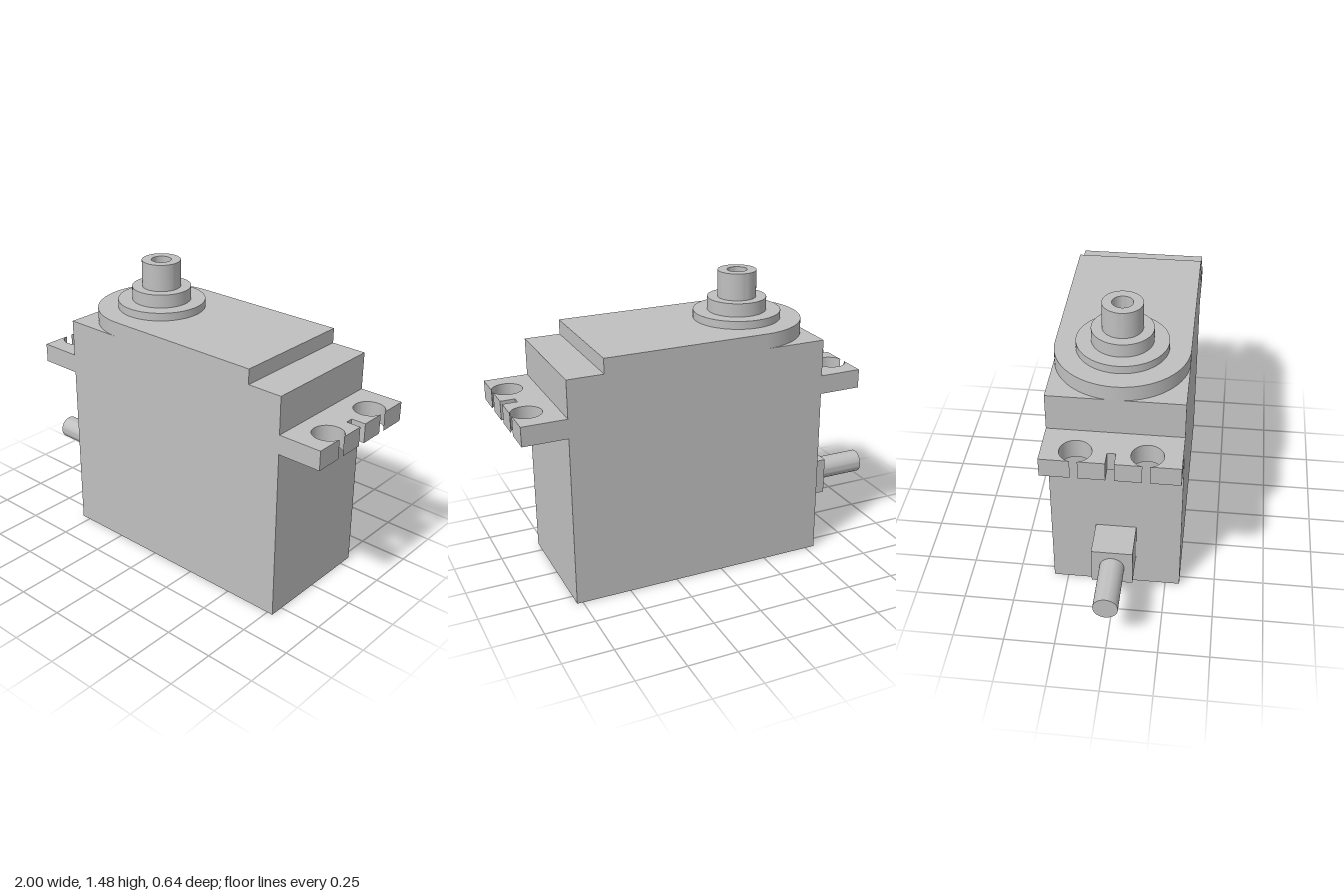
import * as THREE from 'three';
import { toCreasedNormals } from 'three/addons/utils/BufferGeometryUtils.js';

export function createModel() {
  const model = new THREE.Group();
  model.name = 'servoMotor';
  const grey = new THREE.MeshStandardMaterial({ color: 0xc0c0c0 });
  grey.name = 'grey plastic';

  const add = (name, geometry, x = 0, y = 0, z = 0) => {
    const mesh = new THREE.Mesh(toCreasedNormals(geometry, 0.5), grey);
    mesh.name = name;
    mesh.position.set(x, y, z);
    model.add(mesh);
    return mesh;
  };

  // Horizontal plate from a plan outline, rising from y = 0
  const plate = (shape, height) =>
    new THREE.ExtrudeGeometry(shape, { depth: height, bevelEnabled: false, curveSegments: 40 })
      .rotateX(-Math.PI / 2);

  const W = 0.322; // half width of the case
  const shaftX = -0.23;

  // Main case
  add('case', new THREE.BoxGeometry(1.33, 1.16, 2 * W), 0.115, 0.58, 0);

  // Raised lid, rounded around the output shaft
  const lid = new THREE.Shape();
  lid.moveTo(shaftX, -W);
  lid.lineTo(0.6, -W);
  lid.lineTo(0.6, W);
  lid.lineTo(shaftX, W);
  lid.absarc(shaftX, 0, W, Math.PI / 2, Math.PI * 1.5, false);
  add('gearLid', plate(lid, 0.075), 0, 1.16, 0);

  // Stepped collar and hollow output shaft
  const profile = [
    [0.22, 1.235], [0.22, 1.275], [0.148, 1.275], [0.148, 1.342], [0.097, 1.342],
    [0.097, 1.477], [0.05, 1.477], [0.05, 1.342], [0, 1.342],
  ].map(([r, y]) => new THREE.Vector2(r, y));
  add('outputShaft', new THREE.LatheGeometry(profile, 64), shaftX, 0, 0);

  // Mounting ear: two screw holes just breaking the outer edge, and a centre slot
  const L = 0.22, holeX = 0.147, holeZ = 0.163, r = 0.075;
  const gap = Math.acos((L - holeX) / r);
  const ear = new THREE.Shape();
  ear.moveTo(0, -W);
  ear.lineTo(L, -W);
  ear.absarc(holeX, -holeZ, r, -gap, gap, true);
  ear.lineTo(L, -0.02);
  ear.lineTo(0.147, -0.02);
  ear.lineTo(0.147, 0.02);
  ear.lineTo(L, 0.02);
  ear.absarc(holeX, holeZ, r, -gap, gap, true);
  ear.lineTo(L, W);
  ear.lineTo(0, W);
  add('leftMountingEar', plate(ear, 0.097), 0.78, 0.875, 0);
  add('rightMountingEar', plate(ear, 0.097), -0.55, 0.875, 0).rotation.y = Math.PI;

  // Cable exit
  add('cableBlock', new THREE.BoxGeometry(0.187, 0.195, 0.2), -0.6435, 0.282, 0);
  add('cable', new THREE.CylinderGeometry(0.06, 0.06, 0.265, 40).rotateZ(Math.PI / 2), -0.8675, 0.282, 0);

  return model;
}
